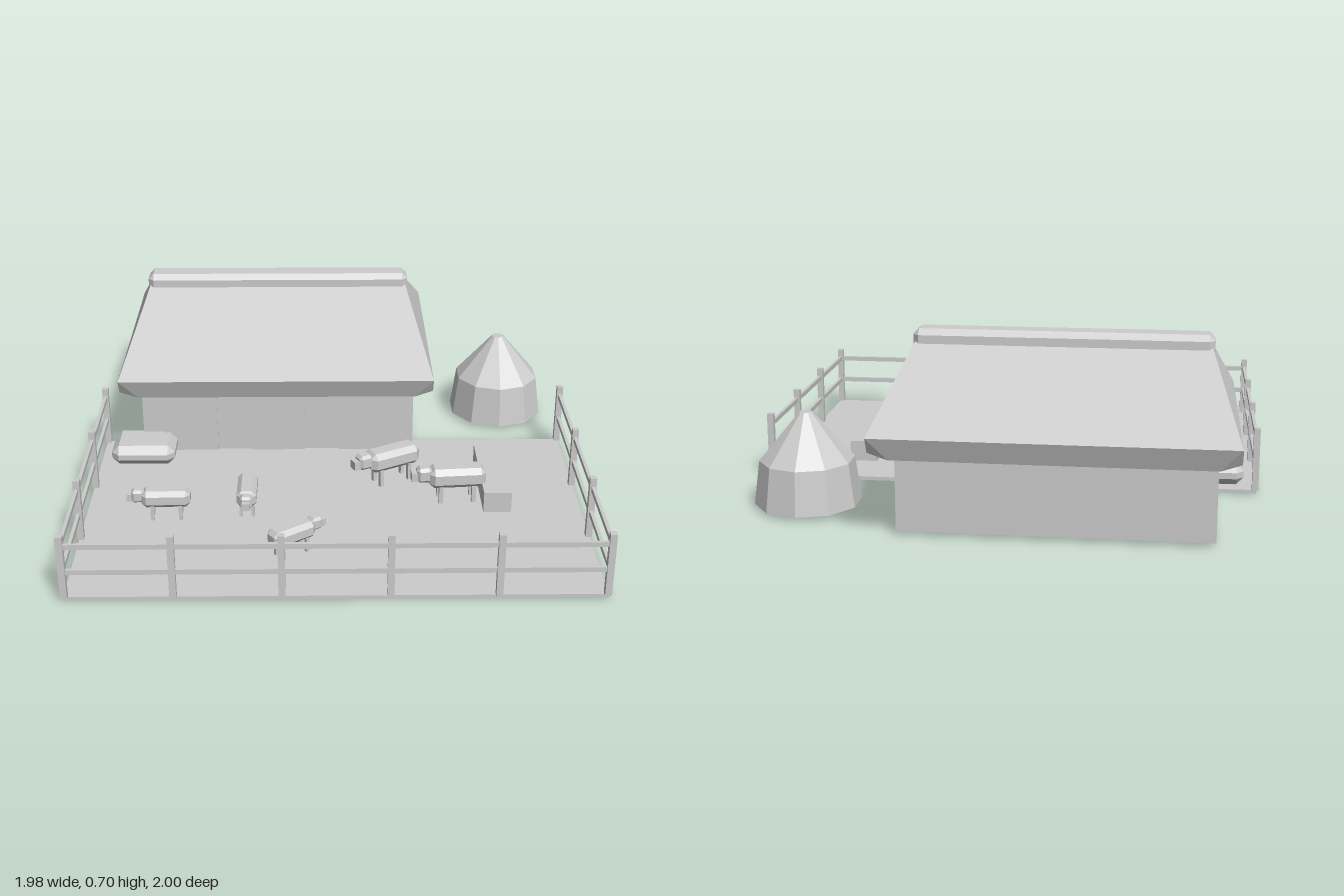
import * as THREE from 'three';
import { ConvexGeometry } from 'three/addons/geometries/ConvexGeometry.js';

const FLOOR = 0.015;

// Box with every edge and corner cut by c
function chamferBox(w, h, d, c) {
  const pts = [];
  for (const x of [-w / 2, w / 2]) for (const y of [-h / 2, h / 2]) for (const z of [-d / 2, d / 2]) {
    const X = x - Math.sign(x) * c, Y = y - Math.sign(y) * c, Z = z - Math.sign(z) * c;
    pts.push(new THREE.Vector3(x, Y, Z), new THREE.Vector3(X, y, Z), new THREE.Vector3(X, Y, z));
  }
  return new ConvexGeometry(pts);
}

export function createModel() {
  const model = new THREE.Group();
  model.name = 'farmyard';
  const grey = new THREE.MeshStandardMaterial({ color: 0xcccccc, flatShading: true });
  grey.name = 'light grey';

  function add(parent, name, geometry, x = 0, y = 0, z = 0) {
    const mesh = new THREE.Mesh(geometry, grey);
    mesh.name = name;
    mesh.position.set(x, y, z);
    parent.add(mesh);
    return mesh;
  }
  const box = (parent, name, w, h, d, x, y, z) =>
    add(parent, name, new THREE.BoxGeometry(w, h, d), x, y, z);

  // Yard slab
  box(model, 'yardGround', 1.96, FLOOR, 1.21, 0, FLOOR / 2, 0.38);

  // Barn walls and doors
  const barn = new THREE.Group();
  barn.name = 'barn';
  model.add(barn);
  box(barn, 'walls', 1.15, 0.31, 0.7, -0.235, FLOOR + 0.155, -0.5);
  for (const x of [-0.607, -0.235, 0.137])
    box(barn, 'door', 0.228, 0.255, 0.009, x, FLOOR + 0.1275, -0.1455);

  // Roof: ridge, eave edge, eave underside and sloping soffit
  const roof = [];
  const level = (x0, x1, y, halfDepth) => {
    for (const x of [x0, x1]) for (const s of [-1, 1]) roof.push(new THREE.Vector3(x, y, -0.5 + s * halfDepth));
  };
  level(-0.775, 0.305, 0.675, 0.005);
  level(-0.885, 0.413, 0.402, 0.5);
  level(-0.885, 0.413, 0.342, 0.467);
  level(-0.81, 0.34, 0.317, 0.467);
  add(barn, 'roof', new ConvexGeometry(roof));
  add(barn, 'ridgeCap', chamferBox(1.115, 0.08, 0.115, 0.022), -0.235, 0.66, -0.5);

  // Ten-sided haystack
  const stack = new THREE.LatheGeometry([
    new THREE.Vector2(0, 0), new THREE.Vector2(0.205, 0), new THREE.Vector2(0.182, 0.17),
    new THREE.Vector2(0.025, 0.355), new THREE.Vector2(0, 0.355),
  ], 10);
  add(model, 'haystack', stack, 0.74, FLOOR, -0.55);

  // Hay bale and feeding trough
  add(model, 'hayBale', chamferBox(0.265, 0.085, 0.2, 0.03), -0.8, FLOOR + 0.0425, -0.088);
  box(model, 'trough', 0.11, 0.085, 0.41, 0.645, FLOOR + 0.0425, 0.195);

  // Fence on the front, left and right
  const fence = new THREE.Group();
  fence.name = 'fence';
  model.add(fence);
  const post = (x, z) => box(fence, 'post', 0.025, 0.255, 0.025, x, FLOOR + 0.1275, z);
  for (let i = 0; i < 6; i++) post(-0.975 + i * 0.39, 0.985);
  for (const x of [-0.975, 0.975])
    for (let i = 0; i < 3; i++) post(x, -0.225 + i * 0.4033);
  for (const y of [0.122, 0.226]) {
    box(fence, 'frontRail', 1.95, 0.02, 0.013, 0, y, 0.985);
    for (const x of [-0.975, 0.975]) box(fence, 'sideRail', 0.013, 0.02, 1.21, x, y, 0.38);
  }

  // Sheep, each built facing +x: position, facing direction, scale
  const bodyGeometry = chamferBox(0.19, 0.07, 0.08, 0.018);
  const headGeometry = chamferBox(0.05, 0.052, 0.048, 0.01);
  const flock = [
    [-0.66, 0.42, -1, 0.03, 1],
    [0.238, 0.127, -0.88, 0.47, 1.2],
    [0.49, 0.29, -1, 0.08, 1.2],
    [-0.345, 0.365, 0, 1, 0.97],
    [-0.165, 0.693, 0.82, -0.57, 0.97],
  ];
  for (const [x, z, dx, dz, s] of flock) {
    const sheep = new THREE.Group();
    sheep.name = 'sheep';
    add(sheep, 'body', bodyGeometry, 0, 0.09, 0);
    add(sheep, 'head', headGeometry, 0.11, 0.1, 0);
    box(sheep, 'muzzle', 0.022, 0.03, 0.032, 0.142, 0.094, 0);
    for (const lx of [-0.055, 0.055]) for (const lz of [-0.024, 0.024])
      box(sheep, 'leg', 0.014, 0.06, 0.014, lx, 0.03, lz);
    sheep.position.set(x, FLOOR, z);
    sheep.rotation.y = Math.atan2(-dz, dx);
    sheep.scale.setScalar(s);
    model.add(sheep);
  }
  return model;
}
